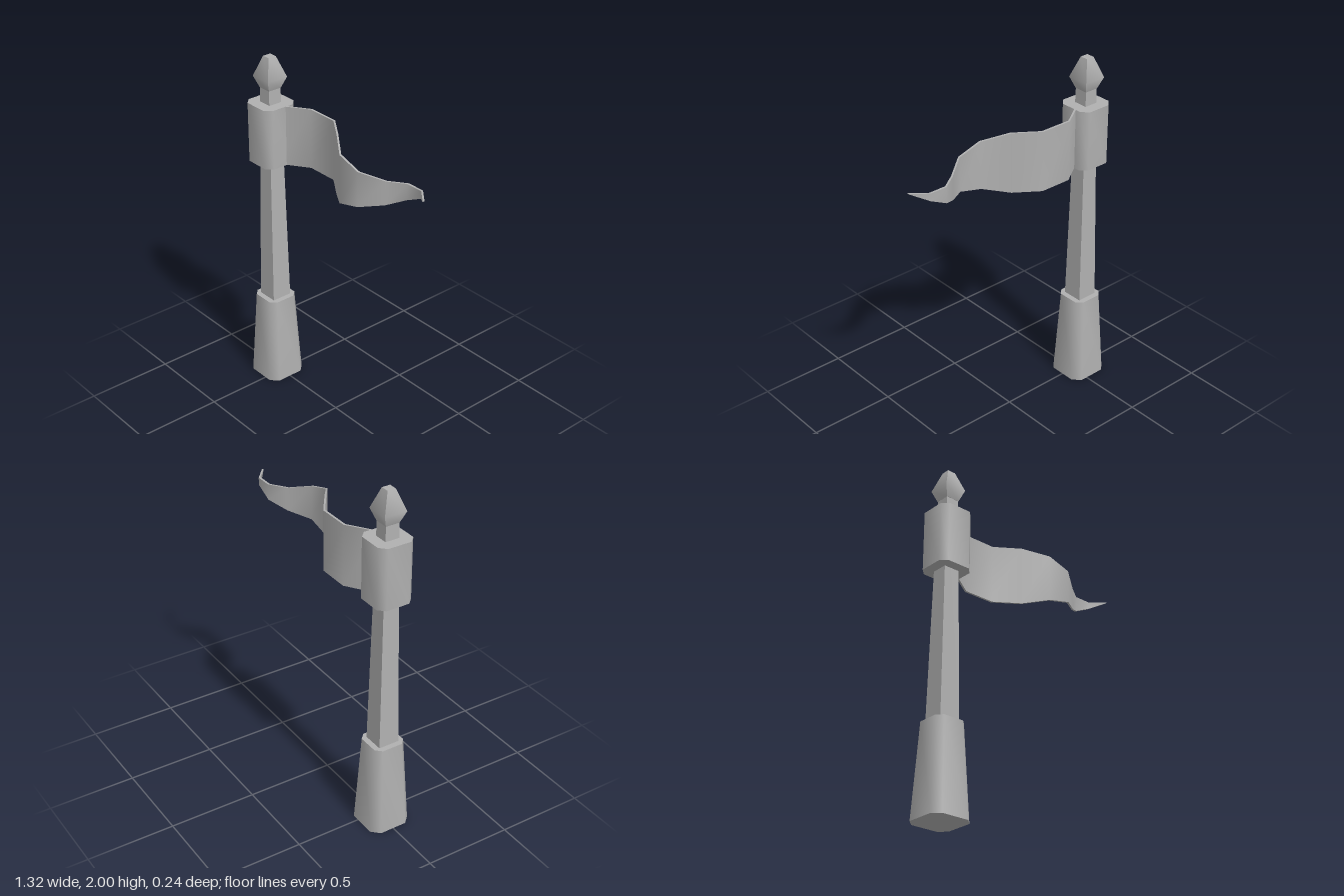
import * as THREE from 'three';
import { toCreasedNormals } from 'three/addons/utils/BufferGeometryUtils.js';

const POLE_X = -0.54;

// Skin a series of equal-sized point rings and cap both ends
function loft(rings) {
  const n = rings[0].length, index = [];
  for (let i = 0; i < rings.length - 1; i++) {
    for (let j = 0; j < n; j++) {
      const k = (j + 1) % n;
      const a = i * n + j, b = i * n + k, c = b + n, d = a + n;
      index.push(a, d, c, a, c, b);
    }
  }
  const last = (rings.length - 1) * n;
  for (let j = 1; j < n - 1; j++) {
    index.push(0, j, j + 1, last, last + j + 1, last + j);
  }
  const geometry = new THREE.BufferGeometry();
  geometry.setAttribute('position', new THREE.Float32BufferAttribute(rings.flat(2), 3));
  geometry.setIndex(index);
  // Bends under 50 degrees stay smooth, corners stay crisp
  return toCreasedNormals(geometry, THREE.MathUtils.degToRad(50));
}

// Square ring around the pole axis; a chamfer turns it into an octagon
function ring(y, half, chamfer = 0) {
  const h = half, k = half - chamfer;
  const points = chamfer
    ? [[h, -k], [h, k], [k, h], [-k, h], [-h, k], [-h, -k], [-k, -h], [k, -h]]
    : [[h, -h], [h, h], [-h, h], [-h, -h]];
  return points.map(([x, z]) => [POLE_X + x, y, z]);
}

// Cross-sections of the banner: [x, z, bottom, top]
function bannerRings() {
  const wave = [
    [-0.475, 0], [-0.32, -0.105], [-0.135, -0.105], [0, -0.011], [0.13, 0.08],
    [0.27, 0.08], [0.385, -0.004], [0.475, -0.068], [0.575, -0.068], [0.657, 0],
  ];
  const { mapLinear } = THREE.MathUtils;
  const t = 0.006;
  return wave.map(([x, z]) => {
    let bottom = 1.39, top = 1.737;
    if (x > 0) {
      top = mapLinear(Math.min(x, 0.385), 0, 0.385, 1.737, 1.62);
      bottom = x < 0.385
        ? mapLinear(x, 0, 0.385, 1.39, 1.485)
        : mapLinear(x, 0.385, 0.657, 1.485, 1.617);
    }
    return [[x, top, z + t], [x, top, z - t], [x, bottom, z - t], [x, bottom, z + t]];
  });
}

export function createModel() {
  const group = new THREE.Group();
  const grey = new THREE.MeshStandardMaterial({ color: 0xb0b0b0 });
  grey.name = 'grey';

  const add = (name, rings) => {
    const mesh = new THREE.Mesh(loft(rings), grey);
    mesh.name = name;
    group.add(mesh);
  };

  // Tapered foot with chamfered corners
  add('base', [ring(0, 0.122, 0.042), ring(0.525, 0.092, 0.032)]);
  // Square tapering post
  add('pole', [ring(0.5, 0.061), ring(1.82, 0.039)]);
  // Sleeve holding the banner
  add('collar', [ring(1.39, 0.104, 0.036), ring(1.737, 0.104, 0.036)]);
  // Spearhead on top
  add('finial', [ring(1.82, 0.04), ring(1.885, 0.065), ring(2, 0.024)]);
  // Rippling pointed banner
  add('banner', bannerRings());

  return group;
}
